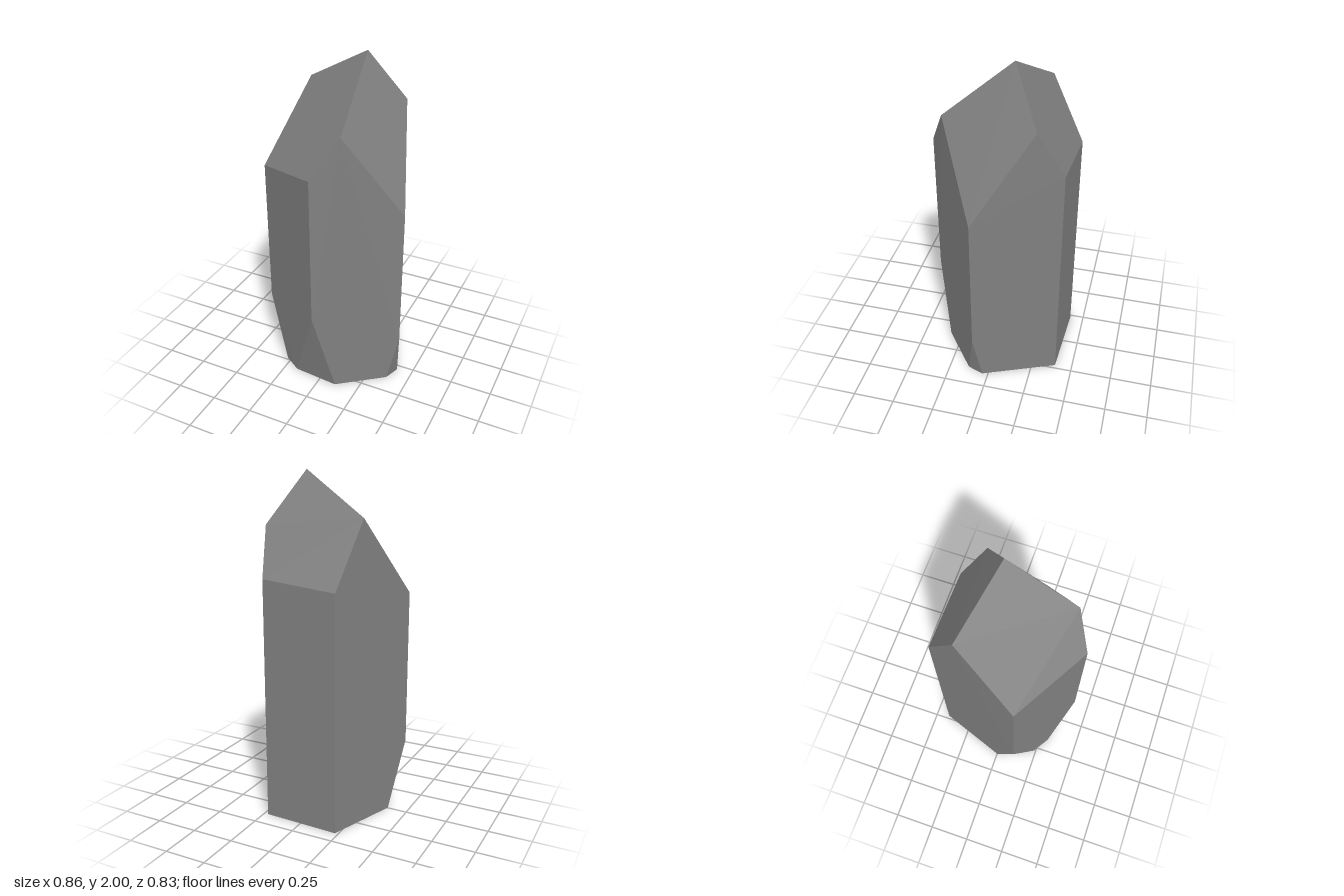
import * as THREE from 'three';
import { ConvexGeometry } from 'three/addons/geometries/ConvexGeometry.js';

export function createModel() {
  const group = new THREE.Group();
  group.name = 'crystal';
  const stone = new THREE.MeshStandardMaterial({ color: 0x808080, flatShading: true });
  stone.name = 'grey stone';

  // Pentagonal column: x, z, lower end and upper end of each upright edge
  const columns = [
    [0, 0.412, 0.52, 1.42],       // front
    [0.428, 0.088, 0.29, 1.15],   // left
    [0.225, -0.395, 0, 1.42],     // back left
    [-0.23, -0.415, 0, 1.385],    // back right
    [-0.43, 0.14, 0.4, 1.31],     // right
  ];
  // Slanted tip: apex and the three peaks where its facets cut the column sides
  const tip = [[0.11, 2, -0.09], [0.138, 1.655, 0.309], [0.286, 1.7, -0.248], [-0.302, 1.76, -0.22]];
  // Flat base: pairs of points left by the three chamfered lower corners
  const base = [[0.108, 0.33], [-0.17, 0.304], [0.37, 0.132], [0.404, 0.035], [-0.275, 0.237], [-0.38, 0.002]];

  const points = tip.map((p) => new THREE.Vector3(...p));
  for (const [x, z] of base) points.push(new THREE.Vector3(x, 0, z));
  for (const [x, z, low, high] of columns) {
    points.push(new THREE.Vector3(x, low, z), new THREE.Vector3(x, high, z));
  }

  const crystal = new THREE.Mesh(new ConvexGeometry(points), stone);
  crystal.name = 'crystalShard';
  group.add(crystal);
  return group;
}
